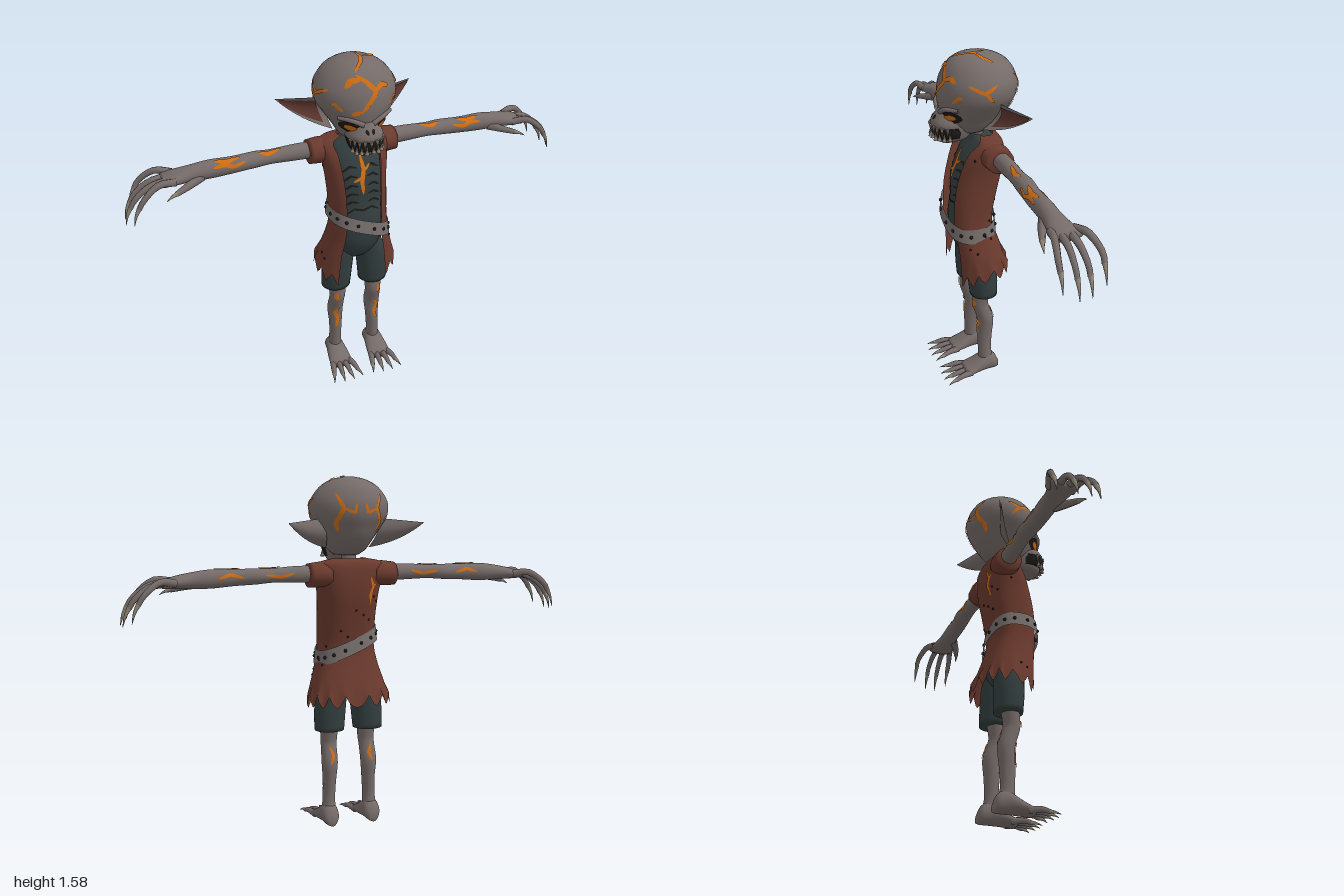
import * as THREE from 'three';

const mat = (name, color, side = THREE.FrontSide) => {
  const m = new THREE.MeshStandardMaterial({ color, side });
  m.name = name;
  return m;
};

export function createModel() {
  const root = new THREE.Group();
  root.name = 'goblin';
  const D = THREE.DoubleSide;
  const skin = mat('greySkin', 0x756b68, D), coatMat = mat('brownLeather', 0x6b3a2e, D);
  const cloth = mat('darkCloth', 0x333e3f), glow = mat('orangeCrack', 0xd06c12, D);
  const dark = mat('black', 0x1d1918, D), bone = mat('bone', 0x8d8271);
  const beltMat = mat('greyBelt', 0x77706d, D), earMat = mat('innerEar', 0x5b342d, D);

  const add = (name, geo, material) => {
    const m = new THREE.Mesh(geo, material);
    m.name = name;
    root.add(m);
    return m;
  };
  const build = (pos, idx) => {
    // turn the faces outward by the sign of the enclosed volume
    let vol = 0;
    const p = (i) => new THREE.Vector3().fromArray(pos, i * 3);
    for (let i = 0; i < idx.length; i += 3) vol += p(idx[i]).dot(p(idx[i + 1]).cross(p(idx[i + 2])));
    if (vol < 0) idx.reverse();
    const g = new THREE.BufferGeometry();
    g.setAttribute('position', new THREE.Float32BufferAttribute(pos, 3));
    g.setIndex(idx);
    g.computeVertexNormals();
    return g;
  };
  // open sheet from a rule (u, v) -> [x, y, z]
  const sheet = (nu, nv, fn) => {
    const pos = [], idx = [];
    for (let j = 0; j <= nv; j++) for (let i = 0; i <= nu; i++) pos.push(...fn(i / nu, j / nv));
    for (let j = 0; j < nv; j++) for (let i = 0; i < nu; i++) {
      const a = j * (nu + 1) + i, b = a + nu + 1;
      idx.push(a, a + 1, b, b, a + 1, b + 1);
    }
    return build(pos, idx);
  };
  // smooth sampling of cross-sections [x, y, z, a, b]
  const sampler = (secs) => {
    const c = new THREE.CatmullRomCurve3(secs.map((s) => new THREE.Vector3(s[0], s[1], s[2])), false, 'catmullrom');
    const r = new THREE.CatmullRomCurve3(secs.map((s) => new THREE.Vector3(s[3], s[4], 0)), false, 'catmullrom');
    return (t) => [c.getPoint(t), r.getPoint(t)];
  };
  const pw = (v, e) => Math.sign(v) * Math.abs(v) ** e;
  // closed body through elliptical cross-sections along an axis
  const loft = (secs, axis = 'y', e = 1, seg = 28) => {
    const at = sampler(secs), n = (secs.length - 1) * 4, pos = [], idx = [];
    for (let j = 0; j <= n; j++) {
      const [c, r] = at(j / n);
      for (let i = 0; i < seg; i++) {
        const th = (i / seg) * Math.PI * 2, s = r.x * pw(Math.sin(th), e), k = r.y * pw(Math.cos(th), e);
        if (axis === 'y') pos.push(c.x + s, c.y, c.z + k);
        else if (axis === 'x') pos.push(c.x, c.y + s, c.z + k);
        else pos.push(c.x + s, c.y + k, c.z);
        if (j < n) {
          const a = j * seg + i, b = j * seg + (i + 1) % seg;
          idx.push(a, b, a + seg, a + seg, b, b + seg);
        }
      }
    }
    const end = n * seg, c0 = pos.length / 3;
    pos.push(...at(0)[0].toArray(), ...at(1)[0].toArray());
    for (let i = 0; i < seg; i++) {
      const k = (i + 1) % seg;
      idx.push(c0, k, i, c0 + 1, end + i, end + k);
    }
    return build(pos, idx);
  };
  const body = (rows) => rows.map(([y, hw, zf, zb]) => [0, y, (zf + zb) / 2, hw, (zf - zb) / 2]);
  // tapering tube through points
  const taper = (pts, r0, r1) => {
    const curve = new THREE.CatmullRomCurve3(pts.map((p) => new THREE.Vector3(...p)));
    const n = 8, g = new THREE.TubeGeometry(curve, n, 1, 8), p = g.attributes.position, v = new THREE.Vector3();
    for (let i = 0; i < p.count; i++) {
      const t = Math.floor(i / 9) / n, c = curve.getPointAt(t);
      v.fromBufferAttribute(p, i).sub(c).multiplyScalar(r0 + (r1 - r0) * t).add(c);
      p.setXYZ(i, v.x, v.y, v.z);
    }
    return g;
  };
  // thin painted band, projected on a surface from one side
  const ray = new THREE.Raycaster();
  const rays = {
    front: (a, b) => [[a, b, 2], [0, 0, -1]], back: (a, b) => [[a, b, -2], [0, 0, 1]],
    left: (a, b) => [[2, b, a], [-1, 0, 0]], right: (a, b) => [[-2, b, a], [1, 0, 0]],
    top: (a, b) => [[a, 3, b], [0, -1, 0]],
  };
  const paint = (name, mesh, view, pts, w, material = glow, lift = 0.003) => {
    const cast = (a, b) => {
      const [o, d] = rays[view](a, b);
      ray.set(new THREE.Vector3(...o), new THREE.Vector3(...d));
      const h = ray.intersectObject(mesh)[0];
      return h && h.point.addScaledVector(new THREE.Vector3(...d), -lift).addScaledVector(h.face.normal, lift * 0.5);
    };
    const n = (pts.length - 1) * 6, pos = [], idx = [];
    for (let i = 0; i <= n; i++) {
      const k = Math.min(Math.floor(i / 6), pts.length - 2), f = i / 6 - k, [p, q] = [pts[k], pts[k + 1]];
      const dx = q[0] - p[0], dy = q[1] - p[1], l = Math.hypot(dx, dy);
      const a = p[0] + dx * f, b = p[1] + dy * f;
      const h = (w / 2) * Math.sqrt(Math.max(0.02, 1 - (2 * i / n - 1) ** 2));
      const mid = cast(a, b);
      if (!mid) continue;
      for (const s of [-1, 0, 1]) pos.push(...(cast(a - (dy / l) * h * s, b + (dx / l) * h * s) || mid).toArray());
    }
    for (let i = 0; i + 1 < pos.length / 9; i++) for (const c of [0, 1]) {
      const a = i * 3 + c;
      idx.push(a, a + 1, a + 3, a + 3, a + 1, a + 4);
    }
    if (idx.length) add(name, build(pos, idx), material);
  };
  const stud = (name, x, y, z, r) => add(name, new THREE.SphereGeometry(r, 8, 6), dark).position.set(x, y, z);

  // head, muzzle and neck
  const head = add('head', loft(body([
    [1.575, 0.02, 0.0, -0.05], [1.563, 0.075, 0.06, -0.1], [1.53, 0.13, 0.105, -0.155], [1.47, 0.172, 0.138, -0.188],
    [1.41, 0.174, 0.15, -0.19], [1.36, 0.148, 0.148, -0.17], [1.31, 0.115, 0.138, -0.145],
    [1.26, 0.085, 0.11, -0.1], [1.235, 0.055, 0.08, -0.06]])), skin);
  const muzzle = add('muzzle', loft(body([
    [1.2, 0.04, 0.15, 0.06], [1.215, 0.06, 0.165, 0.02], [1.25, 0.072, 0.176, 0], [1.285, 0.078, 0.182, 0],
    [1.31, 0.068, 0.172, 0], [1.35, 0.04, 0.145, 0.02]]), 'y', 0.85), skin);
  add('mouth', loft(body([[1.226, 0.067, 0.173, 0.03], [1.25, 0.076, 0.18, 0.03], [1.275, 0.079, 0.184, 0.03]]), 'y', 0.85), dark);
  add('neck', loft(body([[1.15, 0.045, 0.01, -0.07], [1.2, 0.034, 0, -0.05], [1.28, 0.036, 0, -0.05]])), skin);
  for (let i = -4; i <= 4; i++) for (const up of [1, -1]) {
    const th = (i + (up < 0 ? 0.4 : 0)) * 0.29;
    const t = add('tooth', new THREE.ConeGeometry(0.01, i % 2 ? 0.038 : 0.03, 6), bone);
    t.position.set(0.077 * pw(Math.sin(th), 0.85), 1.25 + up * 0.012, 0.093 + 0.088 * pw(Math.cos(th), 0.85));
    if (up > 0) t.rotation.x = Math.PI;
  }

  // torso and shorts
  const torso = add('shirt', loft(body([
    [1.215, 0.045, 0.0, -0.07], [1.19, 0.1, 0.015, -0.1], [1.12, 0.115, 0.06, -0.11], [1.02, 0.115, 0.092, -0.1],
    [0.92, 0.11, 0.095, -0.07], [0.83, 0.112, 0.108, -0.07], [0.73, 0.115, 0.1, -0.08], [0.66, 0.1, 0.07, -0.085],
    [0.61, 0.06, 0.03, -0.06]])), cloth);
  for (let i = 0; i < 5; i++) for (const s of [-1, 1]) {
    const y = 1.1 - i * 0.04;
    paint('ribLine', torso, 'front', [[s * 0.02, y], [s * 0.05, y + 0.006], [s * 0.085, y - 0.02]], 0.01, dark, 0.002);
  }
  paint('bellyLine', torso, 'front', [[-0.08, 0.88], [-0.04, 0.91], [0, 0.9], [0.04, 0.91], [0.08, 0.88]], 0.01, dark, 0.002);

  // open coat with a ragged, flared hem
  const E = 0.8;
  const coatAt = sampler(body([
    [1.222, 0.07, -0.005, -0.085], [1.2, 0.15, 0.02, -0.115], [1.14, 0.15, 0.07, -0.125], [1.05, 0.136, 0.103, -0.12],
    [0.95, 0.13, 0.122, -0.1], [0.83, 0.13, 0.124, -0.08], [0.75, 0.142, 0.116, -0.095], [0.66, 0.168, 0.108, -0.125],
    [0.58, 0.19, 0.104, -0.15]]));
  const coat = add('coat', sheet(72, 40, (u, v) => {
    const [c, r] = coatAt(v);
    const open = Math.asin(Math.min(0.62 + Math.max(0, 0.2 - v), 0.95) ** (1 / E));
    const th = open + u * (Math.PI * 2 - 2 * open);
    const i = Math.round(u * 72), zig = (Math.abs((i % 6) - 3) / 3 - 0.5) * 0.075 * (0.7 + 0.3 * Math.sin(i));
    const k = Math.max(0, (v - 0.86) / 0.14), front = Math.max(0, Math.cos(th)) * 0.05;
    return [r.x * pw(Math.sin(th), E), c.y - k * (zig + front), c.z + r.y * pw(Math.cos(th), E)];
  }), coatMat);
  for (let i = 0; i < 18; i++) {
    const u = (i * 0.618) % 1, [c, r] = coatAt(0.25 + 0.68 * ((i * 0.37) % 1)), th = 1 + u * 4.28;
    stud('coatHole', r.x * pw(Math.sin(th), E), c.y, c.z + r.y * pw(Math.cos(th), E), 0.005);
  }

  // slanted belt with studs
  const beltPoint = (th, h) => {
    const x = (0.14 - h * 0.1) * pw(Math.sin(th), E);
    return [x, 0.83 - 0.4 * x + h, 0.021 + (0.115 - h * 0.1) * pw(Math.cos(th), E)];
  };
  add('belt', sheet(56, 2, (u, v) => beltPoint(u * Math.PI * 2, (v - 0.5) * 0.066)), beltMat);
  for (let i = 0; i < 16; i++) stud('beltStud', ...beltPoint((i + 0.5) / 16 * Math.PI * 2, 0), 0.008);

  for (const s of [1, -1]) {
    const mx = (secs) => secs.map((p) => [s * p[0], ...p.slice(1)]);
    // face
    const face = (pts) => pts.map(([x, y]) => [s * x, y]);
    paint('eyeSocket', head, 'front', face([[0.025, 1.315], [0.065, 1.328], [0.107, 1.345]]), 0.056, dark, 0.003);
    paint('eye', head, 'front', face([[0.045, 1.32], [0.07, 1.326], [0.092, 1.335]]), 0.026, glow, 0.006);
    paint('nostril', muzzle, 'front', face([[0.01, 1.305], [0.016, 1.325]]), 0.014, dark);
    add('brow', taper(mx([[0.02, 1.34, 0.148], [0.065, 1.362, 0.14], [0.115, 1.368, 0.1]]), 0.012, 0.008), skin);

    // pointed, cupped ears
    const ear = (inset, push) => sheet(12, 8, (u, v) => {
      const w = inset + v * (1 - 2 * inset), uu = inset + u * (1 - 1.6 * inset);
      const top = [0.135 + 0.175 * uu, 1.395 - 0.018 * uu, -0.06 - 0.088 * uu];
      const low = [0.1 + 0.21 * uu, 1.265 + 0.05 * uu + 0.062 * uu ** 2.5, -0.01 - 0.138 * uu];
      const cup = Math.sin(w * Math.PI) * (1 - uu) * 0.035;
      return [s * (top[0] + (low[0] - top[0]) * w), top[1] + (low[1] - top[1]) * w, top[2] + (low[2] - top[2]) * w - cup + push];
    });
    add('ear', ear(0, 0), skin);
    add('innerEar', ear(0.13, 0.006), earMat);

    // sleeve and arm
    add('sleeve', loft(mx([[0.1, 1.15, -0.055, 0.05, 0.06], [0.14, 1.153, -0.055, 0.056, 0.066], [0.2, 1.15, -0.058, 0.052, 0.06]]), 'x'), coatMat);
    const arm = add('arm', loft(mx([
      [0.15, 1.155, -0.06, 0.036, 0.038], [0.25, 1.157, -0.062, 0.036, 0.036], [0.36, 1.155, -0.065, 0.031, 0.034],
      [0.43, 1.153, -0.068, 0.034, 0.04], [0.53, 1.15, -0.062, 0.036, 0.037], [0.63, 1.147, -0.065, 0.04, 0.039],
      [0.71, 1.143, -0.065, 0.034, 0.042], [0.78, 1.137, -0.067, 0.026, 0.055], [0.83, 1.13, -0.07, 0.016, 0.06]]), 'x'), skin);
    // fingers and thumb with claws
    [[-0.115, -0.168, 0.965], [-0.085, -0.098, 0.995], [-0.05, -0.045, 1], [-0.022, 0.008, 0.97]].forEach(([z0, z1, x], i) => {
      const y = i % 3 ? 0 : 0.02, zm = (z0 + z1) / 2;
      add('finger', taper(mx([[0.78, 1.137, z0], [x - 0.12, 1.125 + y, zm], [x - 0.05, 1.075 + y, z1], [x - 0.028, 1.04 + y, z1]]), 0.017, 0.011), skin);
      add('fingerClaw', taper(mx([[x - 0.03, 1.045 + y, z1], [x - 0.012, 1.01 + y, z1], [x, 0.965 + y, z1]]), 0.011, 0.001), bone);
    });
    add('thumb', taper(mx([[0.67, 1.13, -0.045], [0.73, 1.115, -0.012], [0.785, 1.1, 0.01]]), 0.022, 0.011), skin);
    add('thumbClaw', taper(mx([[0.78, 1.102, 0.009], [0.81, 1.092, 0.018], [0.83, 1.08, 0.022]]), 0.011, 0.001), bone);
    paint('armCrack', arm, 'front', face([[0.48, 1.172], [0.53, 1.16], [0.57, 1.172], [0.62, 1.166]]), 0.016);
    paint('armCrack', arm, 'top', face([[0.32, -0.055], [0.38, -0.045], [0.42, -0.055]]), 0.018);
    paint('armCrack', arm, 'top', face([[0.5, -0.05], [0.56, -0.04], [0.61, -0.05]]), 0.018);
    paint('armCrack', arm, 'back', face([[0.27, 1.165], [0.33, 1.15], [0.4, 1.16]]), 0.014);
    paint('armCrack', arm, 'back', face([[0.49, 1.15], [0.55, 1.165], [0.6, 1.15]]), 0.014);

    // shorts, leg, foot
    add('shortsLeg', loft(mx([[0.06, 0.7, -0.01, 0.05, 0.06], [0.078, 0.62, -0.017, 0.07, 0.068], [0.088, 0.53, -0.02, 0.072, 0.068],
      [0.092, 0.445, -0.024, 0.068, 0.064]])), cloth);
    const leg = add('leg', loft(mx([[0.1, 0.05, -0.04, 0.036, 0.042], [0.098, 0.11, -0.03, 0.029, 0.032], [0.095, 0.2, -0.03, 0.03, 0.035],
      [0.094, 0.29, -0.034, 0.037, 0.038], [0.092, 0.36, -0.014, 0.036, 0.038], [0.09, 0.4, -0.008, 0.038, 0.038], [0.09, 0.5, -0.02, 0.045, 0.042]])), skin);
    add('foot', loft(mx([[0.1, 0.024, -0.095, 0.018, 0.02], [0.1, 0.043, -0.075, 0.036, 0.041], [0.1, 0.052, -0.035, 0.042, 0.05],
      [0.1, 0.034, 0.025, 0.052, 0.032], [0.1, 0.019, 0.08, 0.056, 0.017]]), 'z'), skin);
    for (let i = 0; i < 4; i++) {
      const k = (i - 1.5) / 1.5, z = 0.15 - Math.abs(k) * 0.015;
      add('toe', taper(mx([[0.1 + k * 0.036, 0.02, 0.05], [0.1 + k * 0.052, 0.024, 0.1], [0.1 + k * 0.06, 0.015, z]]), 0.017, 0.01), skin);
      add('toeClaw', taper(mx([[0.1 + k * 0.06, 0.016, z - 0.005], [0.1 + k * 0.066, 0.013, z + 0.02], [0.1 + k * 0.074, 0.004, z + 0.042]]), 0.01, 0.001), bone);
    }
    paint('legCrack', leg, 'front', face([[0.1, 0.42], [0.108, 0.4], [0.098, 0.375]]), 0.02);
    paint('legCrack', leg, 'front', face([[0.085, 0.32], [0.11, 0.29], [0.092, 0.25], [0.105, 0.2]]), 0.018);
    paint('legCrack', leg, 'back', face([[0.1, 0.37], [0.085, 0.33], [0.1, 0.29]]), 0.014);

    // cracks on the side of the head
    const side = s > 0 ? 'left' : 'right';
    paint('headCrack', head, side, [[0.065, 1.48], [0.005, 1.452], [-0.05, 1.48]], 0.016);
    paint('headCrack', head, side, [[0.005, 1.455], [-0.035, 1.41]], 0.014);
    paint('headCrack', head, side, [[0.12, 1.4], [0.1, 1.43], [0.085, 1.425]], 0.012);
    paint('headCrack', head, 'back', face([[0.1, 1.5], [0.075, 1.44], [0.1, 1.38], [0.085, 1.34]]), 0.018);
    paint('headCrack', head, 'back', face([[0.075, 1.44], [0.03, 1.42], [0.02, 1.46]]), 0.014);
  }

  // cracks on brow, crown, chest and back
  for (const pts of [
    [[-0.03, 1.395], [0.0, 1.43], [0.04, 1.475], [0.0, 1.515], [-0.035, 1.54]],
    [[0.03, 1.475], [0.065, 1.495], [0.1, 1.482]], [[-0.02, 1.525], [-0.06, 1.52], [-0.085, 1.495]],
    [[-0.03, 1.4], [-0.07, 1.39]]]) paint('headCrack', head, 'front', pts, 0.02);
  paint('crownCrack', head, 'top', [[-0.035, 0.085], [0.0, 0.05], [0.02, 0], [0.01, -0.05]], 0.018);
  paint('crownCrack', head, 'top', [[0.02, 0.0], [0.07, -0.02], [0.1, -0.06]], 0.016);
  paint('chestCrack', torso, 'front', [[0.0, 1.155], [0.008, 1.09], [-0.004, 1.04], [0, 0.98]], 0.02);
  paint('chestCrack', torso, 'front', [[0.005, 1.08], [0.04, 1.11]], 0.012);
  paint('chestCrack', torso, 'front', [[0.0, 1.06], [-0.04, 1.04]], 0.012);
  paint('backCrack', coat, 'back', [[-0.07, 1.14], [-0.085, 1.1], [-0.07, 1.06], [-0.08, 1.01]], 0.014);
  paint('backCrack', coat, 'back', [[-0.08, 1.09], [-0.1, 1.11]], 0.01);
  return root;
}
